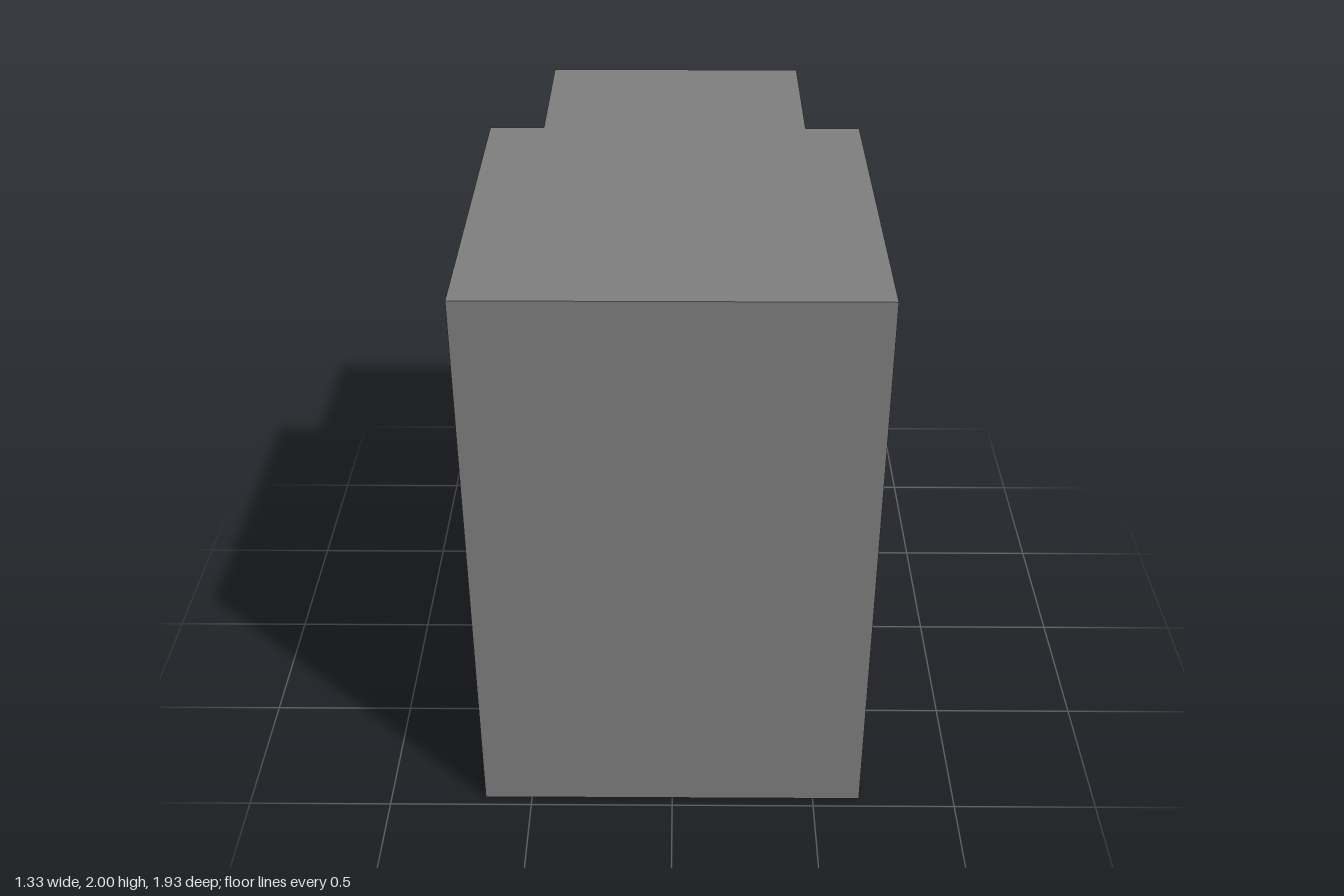
import * as THREE from 'three';

// A tall stepped shell: T-shaped footprint, closed on top, open underneath.
export function createModel() {
  const group = new THREE.Group();
  group.name = 'steppedShell';

  const grey = new THREE.MeshStandardMaterial({ color: 0x7f7e7e, side: THREE.DoubleSide });
  grey.name = 'grey';

  const height = 2;
  // Footprint as [x, z], counter-clockwise seen from above; half mirrored in x.
  const half = [[0.665, 0.963], [0.665, -0.367], [0.472, -0.367], [0.472, -0.963]];
  const outline = [...half, ...half.map(([x, z]) => [-x, z]).reverse()];

  // Flat top
  const shape = new THREE.Shape(outline.map(([x, z]) => new THREE.Vector2(x, -z)));
  const top = new THREE.Mesh(new THREE.ShapeGeometry(shape), grey);
  top.name = 'top';
  top.rotation.x = -Math.PI / 2;
  top.position.y = height;
  group.add(top);

  // One upright panel per footprint edge, facing outward
  const walls = new THREE.Group();
  walls.name = 'walls';
  outline.forEach(([x0, z0], i) => {
    const [x1, z1] = outline[(i + 1) % outline.length];
    const dx = x1 - x0, dz = z1 - z0;
    const wall = new THREE.Mesh(new THREE.PlaneGeometry(Math.hypot(dx, dz), height), grey);
    wall.name = 'wall';
    wall.position.set((x0 + x1) / 2, height / 2, (z0 + z1) / 2);
    wall.rotation.y = Math.atan2(-dz, dx);
    walls.add(wall);
  });
  group.add(walls);

  return group;
}
